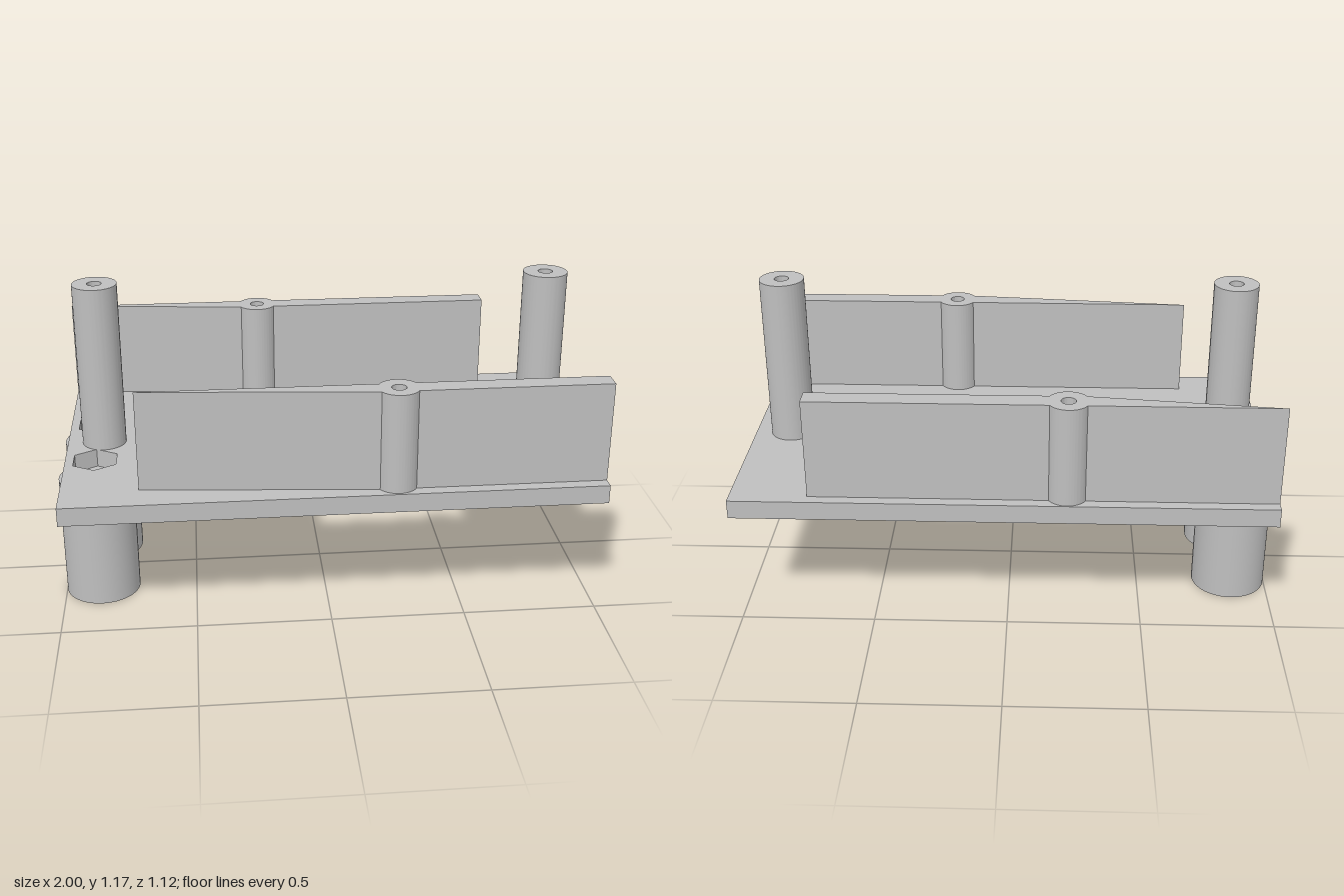
import * as THREE from 'three';
import { toCreasedNormals } from 'three/addons/utils/BufferGeometryUtils.js';

const PLATE_BOTTOM = 0.47, PLATE_TOP = 0.54, WALL_TOP = 0.917, POST_TOP = 1.175;
const SCREW_R = 0.027;

const grey = new THREE.MeshStandardMaterial({ color: 0xbfbfbf });
grey.name = 'grey plastic';

// Plan shapes are drawn in (x, -z) and raised from y0 to y1.
function raise(name, shape, y0, y1) {
  let geo = new THREE.ExtrudeGeometry(shape, { depth: y1 - y0, bevelEnabled: false, curveSegments: 40 });
  geo.rotateX(-Math.PI / 2);
  geo.translate(0, y0, 0);
  geo = toCreasedNormals(geo, 0.5);
  const mesh = new THREE.Mesh(geo, grey);
  mesh.name = name;
  return mesh;
}

function circle(x, z, r, Type = THREE.Path) {
  return new Type().absarc(x, -z, r, 0, Math.PI * 2, false);
}

function polygon(points, Type = THREE.Path) {
  return new Type(points.map(([x, z]) => new THREE.Vector2(x, -z)));
}

function rectangle(x0, x1, z0, z1, Type = THREE.Path) {
  return polygon([[x0, z1], [x1, z1], [x1, z0], [x0, z0]], Type);
}

function hexagon(x, z, r) {
  return polygon(Array.from({ length: 6 }, (_, i) => {
    const a = Math.PI / 6 + i * Math.PI / 3;
    return [x + r * Math.cos(a), z + r * Math.sin(a)];
  }));
}

// Round column with a hole down its axis
function tube(name, x, z, r, hole, y0, y1) {
  const shape = circle(x, z, r, THREE.Shape);
  shape.holes.push(circle(x, z, hole));
  return raise(name, shape, y0, y1);
}

// Thin wall that swells into a drilled screw boss
function wall(name, x0, x1, bossX, z) {
  const half = 0.038, r = 0.076, a = Math.asin(half / r), y = -z;
  const s = new THREE.Shape();
  s.moveTo(x0, y - half);
  s.absarc(bossX, y, r, Math.PI + a, 2 * Math.PI - a, false);
  s.lineTo(x1, y - half);
  s.lineTo(x1, y + half);
  s.absarc(bossX, y, r, a, Math.PI - a, false);
  s.lineTo(x0, y + half);
  s.closePath();
  s.holes.push(circle(bossX, z, SCREW_R));
  return raise(name, s, PLATE_TOP, WALL_TOP);
}

export function createModel() {
  const model = new THREE.Group();
  model.name = 'mountingBracket';

  const backBoss = [-0.215, -0.482], frontBoss = [0.236, 0.476];
  const legX = -0.86, legZ = 0.168;

  // Base plate with window, screw holes and hexagonal nut pockets
  const plate = rectangle(-0.972, 1, -0.562, 0.56, THREE.Shape);
  plate.holes.push(rectangle(-0.15, 0.498, -0.17, 0.167));
  for (const [x, z] of [backBoss, frontBoss, [-0.215, -0.002], [0.564, -0.002]]) {
    plate.holes.push(circle(x, z, SCREW_R));
  }
  for (const side of [-1, 1]) plate.holes.push(hexagon(legX, side * legZ, 0.092));
  model.add(raise('basePlate', plate, PLATE_BOTTOM, PLATE_TOP));

  // Side walls, staggered end to end
  model.add(wall('backWall', -0.972, 0.717, ...backBoss));
  model.add(wall('frontWall', -0.69, 1, ...frontBoss));

  // Tall posts
  model.add(tube('rightPost', -0.833, 0, 0.083, SCREW_R, PLATE_TOP, POST_TOP));
  model.add(tube('leftPost', 0.857, 0, 0.083, SCREW_R, PLATE_TOP, POST_TOP));

  // Hollow legs under the nut pockets
  for (const side of [-1, 1]) {
    model.add(tube(side < 0 ? 'backLeg' : 'frontLeg', legX, side * legZ, 0.14, 0.05, 0, PLATE_BOTTOM));
  }
  return model;
}
